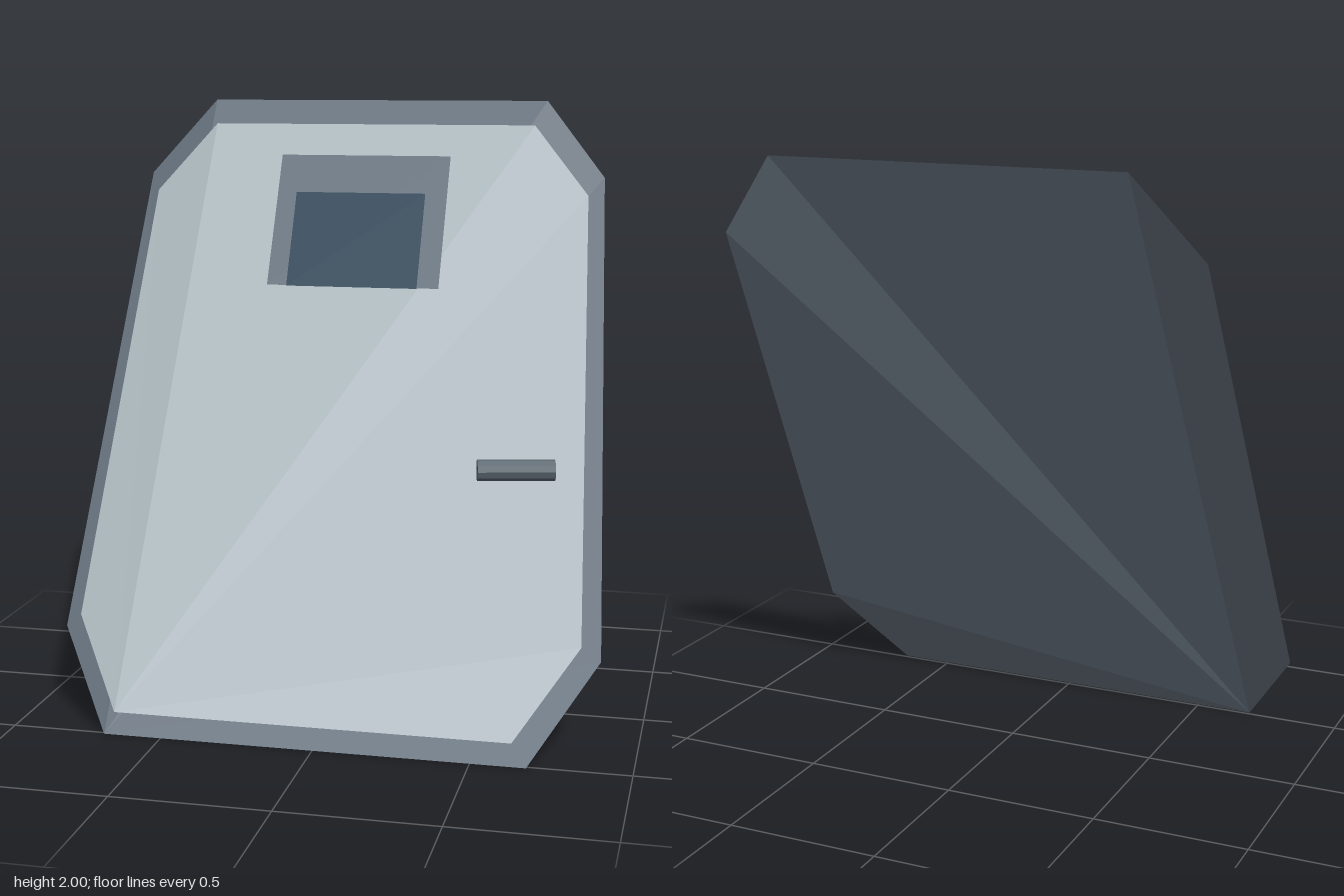
import * as THREE from 'three';

const mat = (name, color) => {
  const m = new THREE.MeshStandardMaterial({ color, side: THREE.DoubleSide, flatShading: true });
  m.name = name;
  return m;
};

// Fan of flat triangles spreading from the first corner
function fan(points) {
  const pos = [];
  for (let i = 1; i < points.length - 1; i++) pos.push(...points[0], ...points[i], ...points[i + 1]);
  const g = new THREE.BufferGeometry();
  g.setAttribute('position', new THREE.Float32BufferAttribute(pos, 3));
  g.computeVertexNormals();
  return g;
}

export function createModel() {
  const group = new THREE.Group();
  const frameGrey = mat('frame grey', 0x66727e);
  const panelGrey = mat('panel pale grey', 0xb2bec4);
  const glassBlue = mat('glass dark blue', 0x1f3f54);
  const handleGrey = mat('handle grey', 0x5c6872);

  const add = (name, geometry, material) => {
    const mesh = new THREE.Mesh(geometry, material);
    mesh.name = name;
    group.add(mesh);
    return mesh;
  };

  // Bowed eight-cornered backing, counter-clockwise from the lower right-hand corner
  add('doorFrame', fan([
    [-0.69, 0, 0.51], [0.675, 0, 0.51], [0.88, 0.29, 0.31], [0.79, 1.745, -0.455],
    [0.585, 2, -0.52], [-0.59, 2, -0.52], [-0.81, 1.745, -0.455], [-0.885, 0.29, 0.31],
  ]), frameGrey);

  // Smaller panel floating just in front of it
  add('doorPanel', fan([
    [-0.65, 0.08, 0.52], [0.63, 0.08, 0.52], [0.82, 0.34, 0.335], [0.745, 1.69, -0.36],
    [0.555, 1.92, -0.42], [-0.56, 1.92, -0.42], [-0.76, 1.69, -0.36], [-0.825, 0.34, 0.335],
  ]), panelGrey);

  // Window plates leaning back with the door
  const plate = (name, w, y0, z0, y1, z1, material) => add(name, fan([
    [-w, y0, z0], [w, y0, z0], [w, y1, z1], [-w, y1, z1],
  ]), material);
  plate('windowFrame', 0.29, 1.4, -0.065, 1.82, -0.285, frameGrey);
  plate('windowGlass', 0.22, 1.4, -0.05, 1.7, -0.2, glassBlue);

  // Bar handle, turned slightly with the bow of the door
  const bar = new THREE.CylinderGeometry(0.034, 0.034, 0.246, 10);
  bar.rotateZ(-Math.PI / 2);
  const handle = add('handle', bar, handleGrey);
  handle.position.set(0.588, 0.862, 0.19);
  handle.rotation.y = 0.225;

  return group;
}
